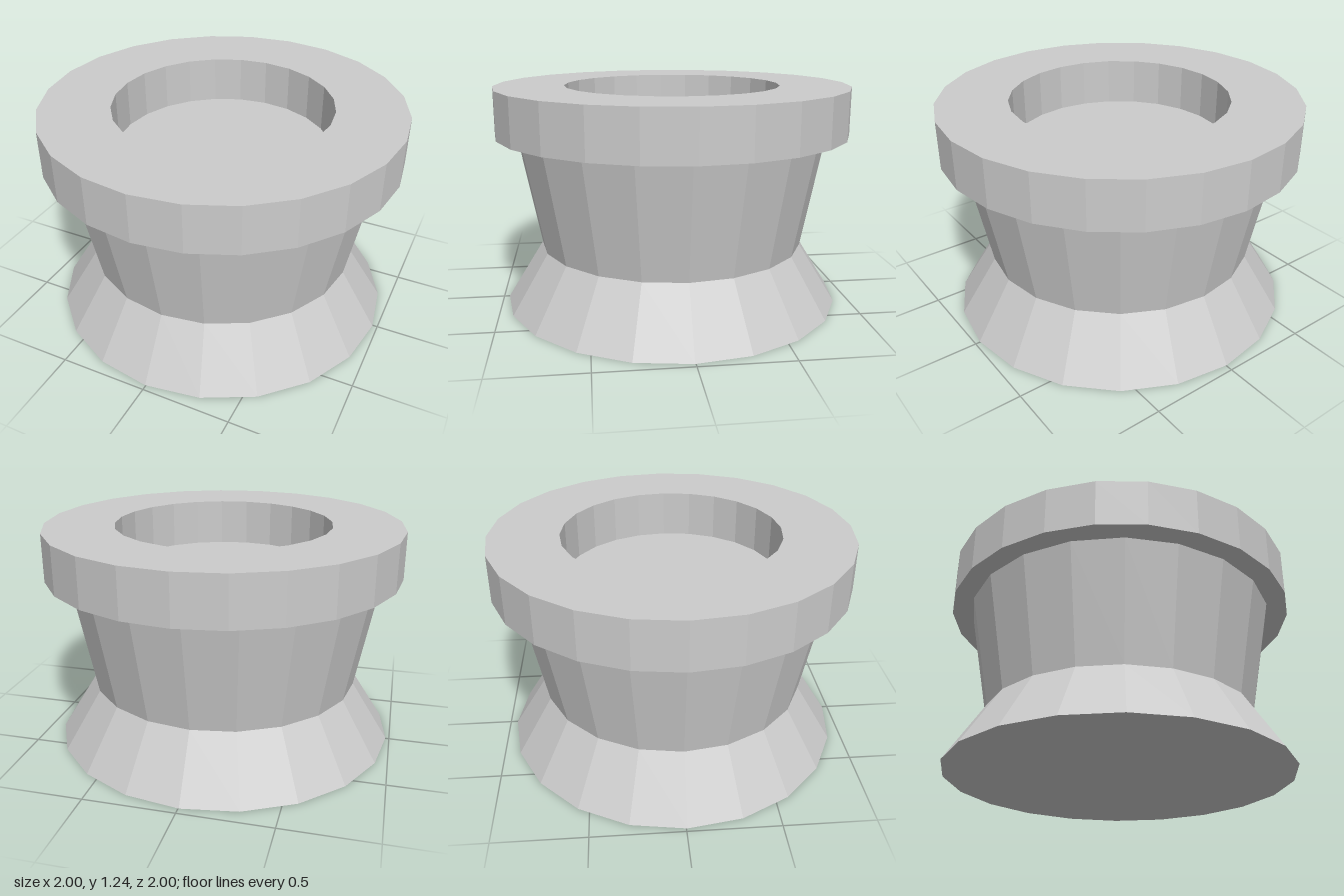
import * as THREE from 'three';

const material = new THREE.MeshStandardMaterial({ color: 0xcccccc, flatShading: true });

// Faceted solid of revolution from [radius, height] pairs
function turned(name, profile, sides) {
  const points = profile.map(([r, y]) => new THREE.Vector2(r, y));
  const mesh = new THREE.Mesh(new THREE.LatheGeometry(points, sides), material);
  mesh.name = name;
  return mesh;
}

export function createModel() {
  const group = new THREE.Group();
  group.name = 'pot';

  // Flared foot and tapering body, closed at both ends
  const body = turned('body', [
    [0, 0], [0.976, 0], [0.765, 0.332], [0.888, 0.975], [0, 0.975],
  ], 20);
  body.scale.z = 0.988;
  body.position.set(-0.004, 0, 0.005);

  // Thick ring on top; the body's top is the floor of its opening
  const rim = turned('rim', [
    [0.607, 0.975], [1, 0.975], [1, 1.24], [0.607, 1.24], [0.607, 0.975],
  ], 24);

  group.add(body, rim);
  return group;
}
